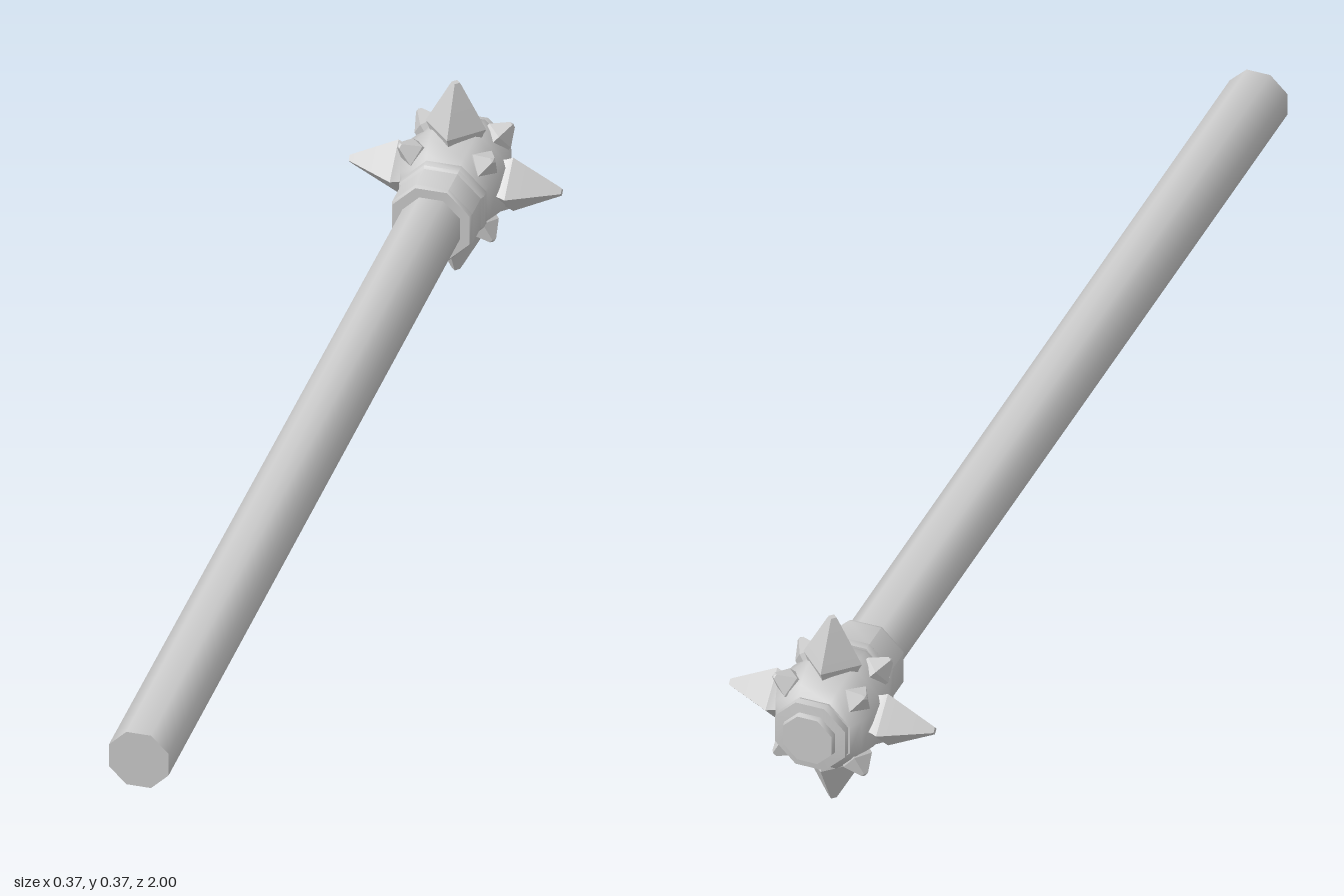
import * as THREE from 'three';
import { toCreasedNormals } from 'three/addons/utils/BufferGeometryUtils.js';

const CENTER_Y = 0.185;
const HEAD_Z = -0.895;
const OCT = 1 / Math.cos(Math.PI / 8); // apothem to corner radius

export function createModel() {
  const group = new THREE.Group();
  const material = new THREE.MeshStandardMaterial({ color: 0xcccccc });

  const add = (name, geometry) => {
    const mesh = new THREE.Mesh(geometry, material);
    mesh.name = name;
    group.add(mesh);
    return mesh;
  };

  // Eight-sided turned part along z; profile is [apothem, z] from front to back
  const turned = (name, profile) => {
    const points = profile.map(([r, z]) => new THREE.Vector2(r * OCT, -z));
    const geometry = new THREE.LatheGeometry(points, 8);
    geometry.rotateY(Math.PI / 8);
    geometry.rotateX(-Math.PI / 2);
    const mesh = add(name, toCreasedNormals(geometry, 0.85));
    mesh.position.set(0.003, CENTER_Y - 0.001, 0);
    return mesh;
  };

  // Shaft
  turned('shaft', [[0, 0.995], [0.052, 0.995], [0.05, -0.8], [0, -0.8]]);

  // Collar where the shaft meets the head
  turned('collar', [[0, -0.738], [0.067, -0.738], [0.07, -0.745],
    [0.07, -0.795], [0.074, -0.8], [0.074, -0.815], [0, -0.815]]);

  // Rounded head
  const head = turned('head', [[0, -0.81], [0.066, -0.81], [0.078, -0.83], [0.087, -0.86],
    [0.091, -0.895], [0.087, -0.93], [0.078, -0.957], [0.064, -0.974], [0, -0.974]]);
  head.position.set(0, CENTER_Y, 0);

  // End cap with a small raised face
  turned('endCap', [[0, -0.96], [0.063, -0.96], [0.063, -0.988],
    [0.046, -0.99], [0.044, -1.0], [0, -1.0]]);

  // Four-sided spike pointing away from the head centre; profile is [radius, distance]
  const spike = (name, profile, direction) => {
    const points = profile.map(([r, d]) => new THREE.Vector2(r, d));
    const geometry = toCreasedNormals(new THREE.LatheGeometry(points, 4), 0.4);
    const mesh = add(name, geometry);
    mesh.position.set(0, CENTER_Y, HEAD_Z);
    mesh.quaternion.setFromUnitVectors(new THREE.Vector3(0, 1, 0), direction.normalize());
  };

  // Four large spikes around the head
  const large = [[0, 0.075], [0.043, 0.075], [0.048, 0.09], [0.053, 0.1],
    [0.01, 0.18], [0.007, 0.185], [0, 0.185]];
  for (const [x, y] of [[1, 0], [0, 1], [-1, 0], [0, -1]]) {
    spike('largeSpike', large, new THREE.Vector3(x, y, 0));
  }

  // Eight small studs on the diagonals
  const small = [[0, 0.08], [0.026, 0.08], [0.027, 0.1], [0.006, 0.128], [0, 0.13]];
  for (const x of [-1, 1]) for (const y of [-1, 1]) for (const z of [-1, 1]) {
    spike('smallSpike', small, new THREE.Vector3(x * 0.082, y * 0.08, z * 0.058));
  }

  return group;
}
